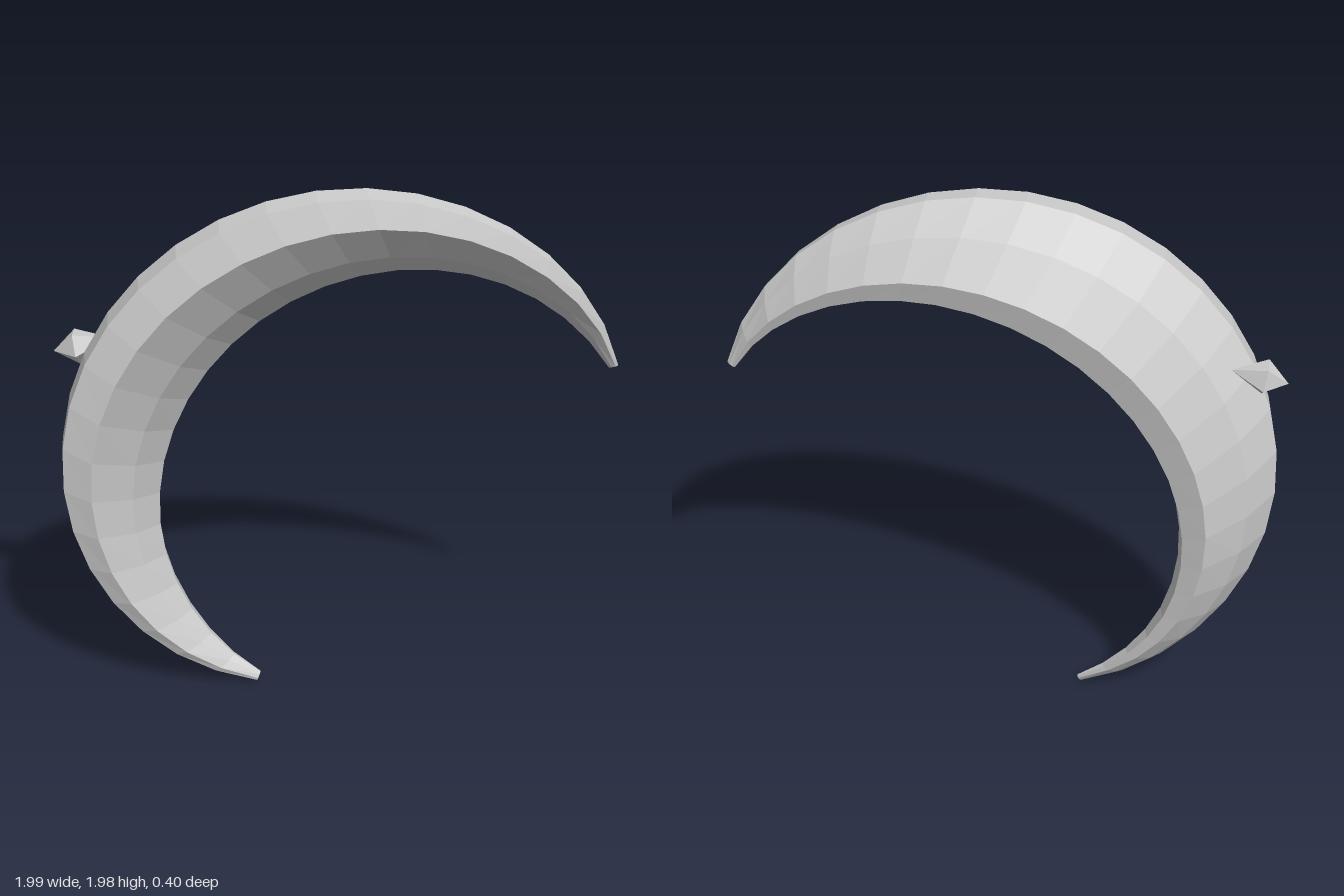
import * as THREE from 'three';

const SEGMENTS = 24;

// Cross-section: [fraction from outer arc to inner arc, depth z], running round the shell
const SECTION = [
  [0.025, 0.172], [0, 0.06], [0.28, -0.09], [0.7, -0.198], // outer face
  [0.95, -0.17], [1, -0.06], [0.73, 0.075], [0.32, 0.2],   // back lip, inner face, front lip
];

// Point on the crescent, t = -1..1 from the upper tip to the lower tip
function crescentPoint(t, [f, depth]) {
  const a = t * 1.99, b = t * 1.768;
  const r = 1.04 - 0.028 * t ** 8;
  const u = THREE.MathUtils.lerp(r * Math.cos(a), -0.235 + 0.84 * Math.cos(b), f);
  const v = THREE.MathUtils.lerp(r * Math.sin(a), 0.91 * Math.sin(b), f);
  const z = depth * Math.max(0.06, (1 - t * t) ** 0.9);
  // u runs up and to the right side, v runs down along the curve
  return [0.05 - (u + v) * Math.SQRT1_2, 0.95 + (u - v) * Math.SQRT1_2, z];
}

function crescentGeometry() {
  const n = SECTION.length, positions = [], index = [];
  for (let i = 0; i <= SEGMENTS; i++) {
    const t = (2 * i) / SEGMENTS - 1;
    for (const p of SECTION) positions.push(...crescentPoint(t, p));
  }
  for (let i = 0; i < SEGMENTS; i++) {
    for (let j = 0; j < n; j++) {
      const k = (j + 1) % n;
      const a = i * n + j, b = i * n + k, c = b + n, d = a + n;
      index.push(a, b, d, b, c, d);
    }
  }
  // Blunt tips
  const last = SEGMENTS * n;
  for (let j = 1; j < n - 1; j++) {
    index.push(0, j + 1, j, last, last + j, last + j + 1);
  }
  return finish(positions, index);
}

// Five-sided stud: outer point, sunken tail and a ring between them
function studGeometry() {
  const positions = [-1, 1.385, 0, -0.8, 1.43, -0.01];
  const index = [];
  for (let k = 0; k < 5; k++) {
    const angle = 0.56 - (k * 2 * Math.PI) / 5;
    const y = 0.065 * Math.cos(angle);
    positions.push(-0.92 - 0.16 * y, 1.402 + y, 0.065 * Math.sin(angle));
    const a = 2 + k, b = 2 + ((k + 1) % 5);
    index.push(0, a, b, 1, b, a);
  }
  return finish(positions, index);
}

function finish(positions, index) {
  const indexed = new THREE.BufferGeometry();
  indexed.setAttribute('position', new THREE.Float32BufferAttribute(positions, 3));
  indexed.setIndex(index);
  const flat = indexed.toNonIndexed();
  flat.computeVertexNormals();
  return flat;
}

export function createModel() {
  const grey = new THREE.MeshStandardMaterial({ color: 0xcccccc });
  grey.name = 'light grey';

  const model = new THREE.Group();
  model.name = 'crescent';
  const add = (name, geometry) => {
    const mesh = new THREE.Mesh(geometry, grey);
    mesh.name = name;
    model.add(mesh);
  };
  add('crescentShell', crescentGeometry());
  add('stud', studGeometry());
  return model;
}
